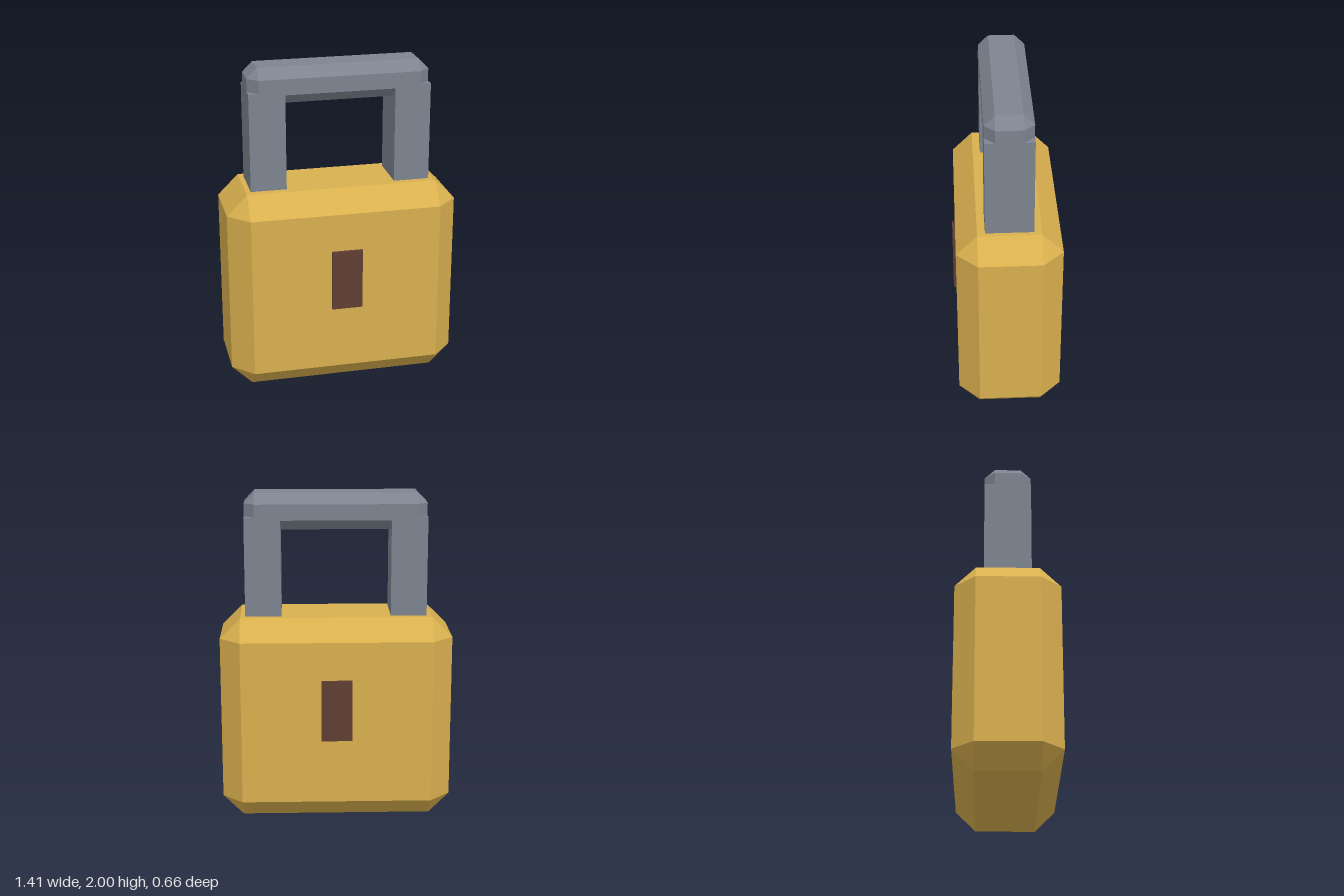
import * as THREE from 'three';
import { ConvexGeometry } from 'three/addons/geometries/ConvexGeometry.js';

const material = (name, color) => {
  const m = new THREE.MeshStandardMaterial({ color });
  m.name = name;
  return m;
};

// Box with every edge cut at 45 degrees: three points at each corner
function chamferedBox(w, h, d, c) {
  const points = [];
  for (const sx of [-1, 1]) for (const sy of [-1, 1]) for (const sz of [-1, 1]) {
    const x = w / 2, y = h / 2, z = d / 2;
    points.push(
      new THREE.Vector3(sx * x, sy * (y - c), sz * (z - c)),
      new THREE.Vector3(sx * (x - c), sy * y, sz * (z - c)),
      new THREE.Vector3(sx * (x - c), sy * (y - c), sz * z)
    );
  }
  return new ConvexGeometry(points);
}

export function createModel() {
  const brass = material('brass', 0xd9b04e);
  const steel = material('steel', 0x7d8490);
  const keyholeBrown = material('keyholeBrown', 0x613f32);

  const model = new THREE.Group();
  model.name = 'padlock';
  const add = (parent, name, geometry, mat, x, y, z) => {
    const mesh = new THREE.Mesh(geometry, mat);
    mesh.name = name;
    mesh.position.set(x, y, z);
    parent.add(mesh);
  };

  // Lock body
  add(model, 'body', chamferedBox(1.41, 1.26, 0.626, 0.125), brass, 0, 0.63, 0);

  // Shackle: chamfered top bar resting over two square legs
  const shackle = new THREE.Group();
  shackle.name = 'shackle';
  model.add(shackle);
  add(shackle, 'shackleBar', chamferedBox(1.1, 0.22, 0.284, 0.062), steel, 0, 1.89, 0);
  const leg = new THREE.BoxGeometry(0.218, 0.7, 0.284);
  for (const side of [-1, 1]) {
    add(shackle, side > 0 ? 'leftLeg' : 'rightLeg', leg, steel, side * 0.441, 1.51, 0);
  }

  // Keyhole plates on the front and back
  const plate = new THREE.BoxGeometry(0.188, 0.378, 0.03);
  for (const side of [-1, 1]) {
    add(model, side > 0 ? 'frontKeyhole' : 'backKeyhole', plate, keyholeBrown, 0, 0.712, side * 0.315);
  }
  return model;
}
